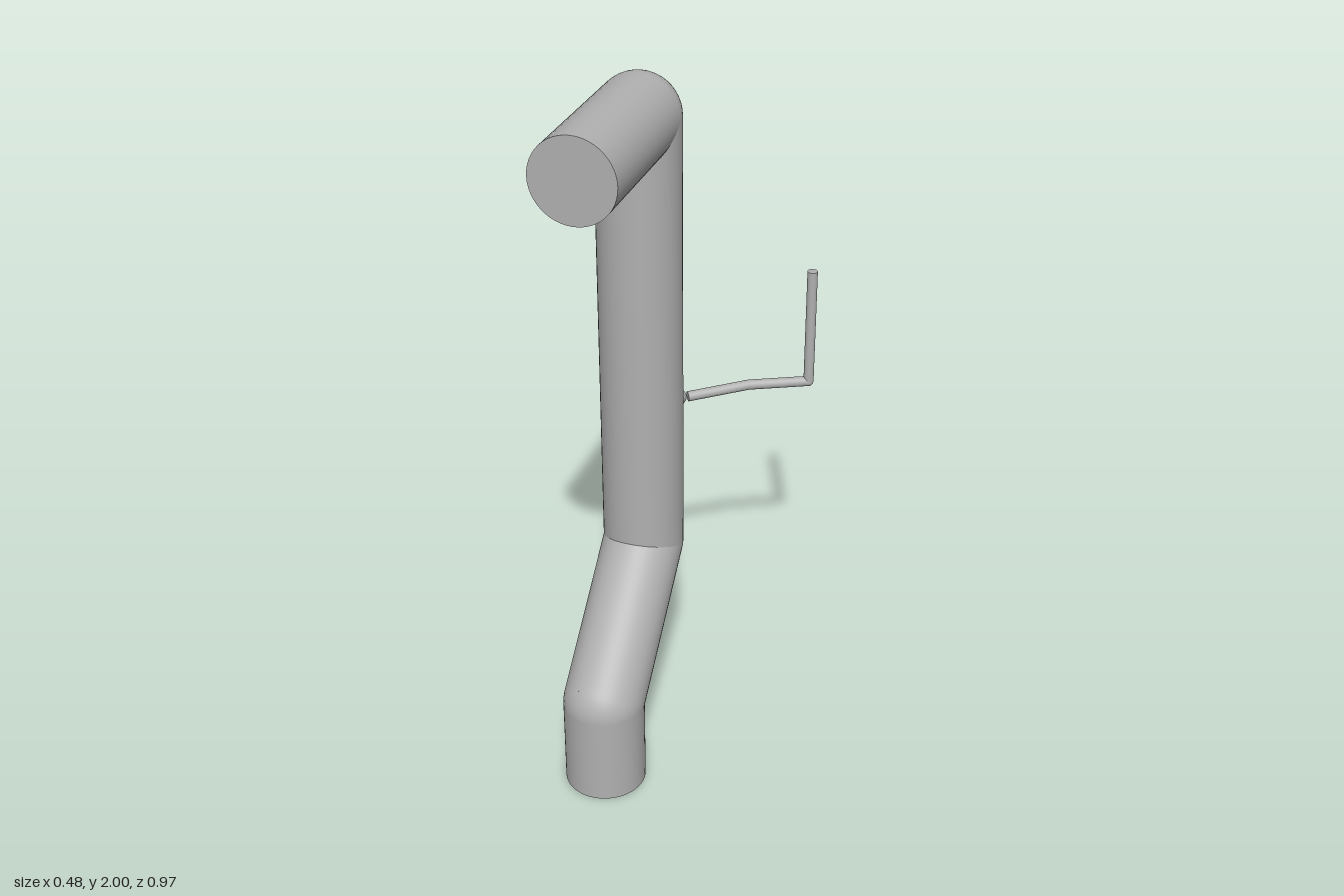
import * as THREE from 'three';

export function createModel() {
  const model = new THREE.Group();
  const metal = new THREE.MeshStandardMaterial({ color: 0xb0b0b0 });
  metal.name = 'grey metal';

  // Straight capped runs between points, with a ball at every inner corner
  function pipe(name, points, radius, sides) {
    const group = new THREE.Group();
    group.name = name;
    const pts = points.map((p) => new THREE.Vector3(...p));
    for (let i = 0; i < pts.length - 1; i++) {
      const dir = pts[i + 1].clone().sub(pts[i]);
      const run = new THREE.Mesh(new THREE.CylinderGeometry(radius, radius, dir.length(), sides), metal);
      run.name = name + 'Run';
      run.position.copy(pts[i]).add(pts[i + 1]).multiplyScalar(0.5);
      run.quaternion.setFromUnitVectors(new THREE.Vector3(0, 1, 0), dir.normalize());
      group.add(run);
      if (i > 0) {
        const elbow = new THREE.Mesh(new THREE.SphereGeometry(radius, sides, sides / 2), metal);
        elbow.name = name + 'Elbow';
        elbow.position.copy(pts[i]);
        group.add(elbow);
      }
    }
    model.add(group);
  }

  const x = -0.125;

  // Main downpipe: outlet, slanted offset, riser and top inlet
  pipe('mainPipe', [
    [x, 0, 0.372], [x, 0.264, 0.372], [x, 0.598, 0.026], [x, 1.885, 0.026], [x, 1.885, 0.48],
  ], 0.115, 48);

  // Short stub on the back of the riser
  pipe('stub', [[x, 0.902, 0], [x, 0.902, -0.285]], 0.027, 24);

  // Thin bent arm ending in an upright rod
  pipe('arm', [
    [-0.095, 0.904, -0.286], [0.06, 0.915, -0.392], [0.222, 0.914, -0.472], [0.222, 1.275, -0.472],
  ], 0.015, 20);

  return model;
}
